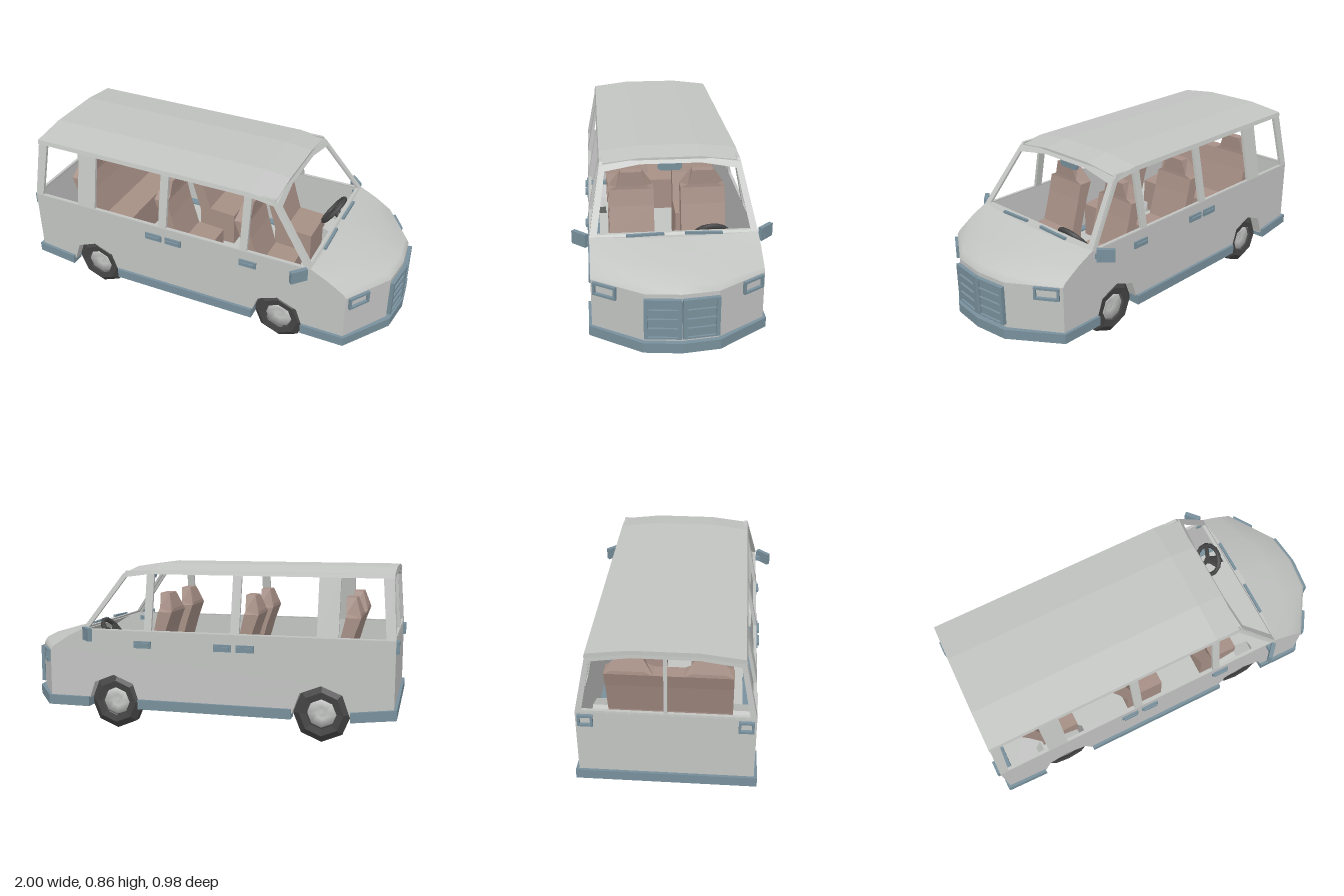
import * as THREE from 'three';

const mat = (name, color) => new THREE.MeshStandardMaterial({ name, color, side: THREE.DoubleSide });

export function createModel() {
  const van = new THREE.Group();
  van.name = 'van';
  const paint = mat('light grey paint', 0xc2c4c2);
  const trim = mat('blue grey trim', 0x78909c);
  const fabric = mat('brown fabric', 0xa68f85);
  const rubber = mat('dark rubber', 0x444444);

  const add = (name, geo, material, parent = van) => {
    const m = new THREE.Mesh(geo, material);
    m.name = name;
    parent.add(m);
    return m;
  };
  const box = (name, size, pos, material, parent) => {
    const m = add(name, new THREE.BoxGeometry(...size), material, parent);
    m.position.set(...pos);
    return m;
  };
  const group = (name, pos, parent = van) => {
    const g = new THREE.Group();
    g.name = name;
    g.position.set(...pos);
    parent.add(g);
    return g;
  };
  const toV = pts => pts.map(p => new THREE.Vector2(...p));
  const rect = (x0, y0, x1, y1) => [[x0, y0], [x1, y0], [x1, y1], [x0, y1]];
  const extrude = (pts, depth, holes = [], steps = 1) => {
    const s = new THREE.Shape(toV(pts));
    holes.forEach(h => s.holes.push(new THREE.Path(toV(h))));
    return new THREE.ExtrudeGeometry(s, { depth, steps, bevelEnabled: false });
  };
  // Move every vertex by a rule
  const warp = (geo, rule) => {
    const p = geo.attributes.position;
    for (let i = 0; i < p.count; i++) p.setXYZ(i, ...rule(p.getX(i), p.getY(i), p.getZ(i)));
    geo.computeVertexNormals();
    return geo;
  };
  // Surface through rows of points
  const loft = (rows, smooth) => {
    const n = rows[0].length, idx = [];
    for (let r = 0; r < rows.length - 1; r++)
      for (let c = 0; c < n - 1; c++) {
        const a = r * n + c, b = a + n;
        idx.push(a, b, a + 1, b, b + 1, a + 1);
      }
    let g = new THREE.BufferGeometry();
    g.setAttribute('position', new THREE.Float32BufferAttribute(rows.flat(2), 3));
    g.setIndex(idx);
    if (!smooth) g = g.toNonIndexed();
    g.computeVertexNormals();
    return g;
  };
  // Slab seen from above: points are [x, z]
  const slab = (pts, y, h) => extrude(pts.map(([x, z]) => [x, -z]), h).rotateX(-Math.PI / 2).translate(0, y, 0);
  const mirrored = half => [...half, ...half.slice().reverse().filter(p => p[1] !== 0).map(([x, z]) => [x, -z])];

  const axles = [-0.635, 0.445];
  const arch = cx => [[-0.14, 0.15], [-0.105, 0.25], [0, 0.292], [0.105, 0.25], [0.14, 0.15]].map(([x, y]) => [cx + x, y]);

  // Lower sides with wheel arches, and upper sides with windows leaning inwards
  const lower = [[-0.985, 0.18], ...arch(axles[0]), ...arch(axles[1]),
    [0.8, 0.15], [0.8, 0.41], [0.785, 0.43], [0.7, 0.485], [0.61, 0.53], [-0.985, 0.53]];
  const upper = [[-0.985, 0.525], [0.61, 0.525], [0.39, 0.83], [-0.965, 0.83]];
  const windows = [
    [[-0.94, 0.53], [-0.715, 0.53], [-0.715, 0.815], [-0.915, 0.815]],
    rect(-0.61, 0.53, -0.225, 0.815),
    rect(-0.18, 0.53, 0.235, 0.815),
    [[0.275, 0.53], [0.583, 0.53], [0.375, 0.815], [0.275, 0.815]]];
  for (const s of [1, -1]) {
    const side = group(s > 0 ? 'rightHandSide' : 'leftHandSide', [0, 0, 0]);
    add('lowerSide', extrude(lower, 0.012).translate(0, 0, s > 0 ? 0.393 : -0.405), paint, side);
    add('windowFrame', warp(extrude(upper, 0.016, windows).translate(0, 0, s > 0 ? 0.389 : -0.405),
      (x, y, z) => [x, y, z - s * (y - 0.53) * 0.2]), paint, side);
    for (const cx of axles) {
      const a = arch(cx);
      add('wheelWell', loft([0.4, 0.27].map(z => a.map(([x, y]) => [x, y, s * z]))), paint, side);
      add('wheelWellWall', new THREE.ShapeGeometry(new THREE.Shape(toV(a))).translate(0, 0, s * 0.27), paint, side);
    }
    box('sill', [0.8, 0.05, 0.07], [-0.09, 0.145, s * 0.385], trim, side);
    for (const x of [-0.255, -0.14, 0.283]) {
      box('handlePlate', [0.092, 0.036, 0.01], [x, 0.457, s * 0.409], trim, side);
      box('doorHandle', [0.075, 0.014, 0.012], [x, 0.458, s * 0.417], trim, side);
    }
    // Door mirror
    const mirror = group('doorMirror', [0.568, 0.508, s * 0.45], side);
    mirror.rotation.y = s * 0.82;
    box('mirrorHousing', [0.088, 0.066, 0.022], [0, 0, 0], trim, mirror);
    box('mirrorArm', [0.03, 0.025, 0.05], [0.58, 0.495, s * 0.415], trim, side);
  }

  // Windscreen frame and rear frame, drawn as [z, y] and tilted
  const outline = [[-0.405, 0.525], [0.405, 0.525], [0.345, 0.815], [0.15, 0.838], [-0.15, 0.838], [-0.345, 0.815]];
  const glassHole = [[-0.368, 0.54], [0.368, 0.54], [0.322, 0.79], [0.15, 0.815], [-0.15, 0.815], [-0.322, 0.79]];
  add('windscreenFrame', warp(extrude(outline, 0.015, [glassHole]),
    (z, y, d) => [0.597 + d - (y - 0.53) * 0.72, y, -z]), paint);
  const rearHole = s => [[s * 0.008, 0.54], [s * 0.375, 0.54], [s * 0.328, 0.795], [s * 0.15, 0.82], [s * 0.008, 0.82]];
  add('rearWindowFrame', warp(extrude(outline, 0.015, [rearHole(1), rearHole(-1)]),
    (z, y, d) => [-0.985 + d + (y - 0.53) * 0.07, y, -z]), paint);
  box('rearDoors', [0.015, 0.36, 0.81], [-0.978, 0.35, 0], paint);

  // Roof, dropping a little towards the windscreen
  const roofSection = [[-0.352, 0.815], [-0.335, 0.815], [-0.15, 0.84], [0.15, 0.84], [0.335, 0.815], [0.352, 0.815],
    [0.346, 0.837], [0.15, 0.861], [-0.15, 0.861], [-0.346, 0.837]];
  add('roof', warp(extrude(roofSection, 2, [], 2), (z, y, d) => {
    const i = Math.round(d);
    return [[-0.968, 0.26, 0.395][i], y - (i === 2 ? 0.018 : 0), -z];
  }), paint);

  // Bonnet and nose
  const zs = [-1, -0.42, 0, 0.42, 1].map(f => f * 0.405);
  const row = (xs, ys) => zs.map((z, i) => [xs[2 - Math.abs(i - 2)], ys[2 - Math.abs(i - 2)], z]);
  add('bonnet', loft([
    row([0.61, 0.635, 0.64], [0.53, 0.53, 0.53]),
    row([0.7, 0.8, 0.81], [0.485, 0.487, 0.49]),
    row([0.785, 0.935, 0.955], [0.43, 0.442, 0.447]),
    row([0.8, 0.955, 0.975], [0.41, 0.41, 0.41])], true), paint);
  add('cowl', loft([row([0.59, 0.59, 0.59], [0.528, 0.528, 0.528]), row([0.61, 0.635, 0.64], [0.53, 0.53, 0.53])]), paint);
  add('nose', loft([0.41, 0.15].map(y => row([0.8, 0.955, 0.975], [y, y, y]))), paint);

  // Floor, notched for the wheels
  const notch = cx => [[cx - 0.14, 0.4], [cx - 0.14, 0.27], [cx + 0.14, 0.27], [cx + 0.14, 0.4]];
  add('floor', slab(mirrored([[-0.98, 0.4], ...notch(axles[0]), ...notch(axles[1]), [0.8, 0.4], [0.95, 0.17], [0.97, 0]]), 0.145, 0.015), paint);

  // Bumpers
  const bumper = (outer, inner) => {
    const o = mirrored(outer), i = mirrored(inner);
    return slab([...o, ...i.reverse()], 0.12, 0.05);
  };
  add('frontBumper', bumper([[0.58, 0.42], [0.808, 0.42], [0.978, 0.178], [1, 0]],
    [[0.58, 0.35], [0.78, 0.35], [0.92, 0.15], [0.935, 0]]), trim);
  add('rearBumper', warp(bumper([[-0.78, 0.42], [-1, 0.42]], [[-0.78, 0.35], [-0.94, 0.35]]),
    (x, y, z) => [x, y + (-0.78 - x) * 0.12, z]), trim);

  // Lamps and grille
  const bezel = (w, h, b) => extrude(rect(-w / 2, -h / 2, w / 2, h / 2), 0.015,
    [rect(-w / 2 + b, -h / 2 + b, w / 2 - b, h / 2 - b)]);
  const slots = [];
  for (let i = 0; i < 4; i++) slots.push(rect(-0.068, -0.092 + i * 0.047, 0.068, -0.051 + i * 0.047));
  for (const s of [1, -1]) {
    const head = group('headlight', [0.843, 0.375, s * 0.34]);
    head.rotation.y = Math.atan2(0.835, s * 0.55);
    add('headlightBezel', bezel(0.122, 0.064, 0.011), trim, head);
    const grille = group('grille', [0.966, 0.29, s * 0.086]);
    grille.rotation.y = Math.atan2(0.17, s * 0.02);
    add('grilleBars', extrude(rect(-0.086, -0.1, 0.086, 0.1), 0.02, slots), trim, grille);
    box('grillePanel', [0.17, 0.198, 0.008], [0, 0, 0.005], trim, grille);
    const tail = group('tailLight', [-0.985, 0.49, s * 0.36]);
    tail.rotation.y = -Math.PI / 2;
    add('tailLightBezel', bezel(0.07, 0.06, 0.011), trim, tail);
    // Wipers
    const wiper = box('wiper', [0.014, 0.012, 0.18], [0.622, 0.54, s * 0.14], trim);
    wiper.rotation.x = s * 0.03;
  }

  // Inside mirror
  const glass = [[-0.06, -0.01], [-0.045, -0.021], [0.045, -0.021], [0.06, -0.01], [0.06, 0.01], [0.045, 0.021], [-0.045, 0.021], [-0.06, 0.01]];
  add('insideMirror', extrude(glass, 0.015).rotateY(Math.PI / 2).translate(0.365, 0.79, 0), trim);

  // Wheels and axles
  const tyre = toV([[0.075, -0.045], [0.11, -0.05], [0.145, -0.022], [0.145, 0.022], [0.11, 0.05], [0.075, 0.045]]);
  const hub = toV([[0.08, -0.045], [0.07, 0.035], [0.03, 0.02], [0, 0.025]]);
  const rubberFlat = g => { const n = g.toNonIndexed(); n.computeVertexNormals(); return n; };
  for (const cx of axles) {
    for (const s of [1, -1]) {
      const wheel = group('wheel', [cx, 0.145, s * 0.33]);
      wheel.rotation.x = s * Math.PI / 2;
      add('tyre', rubberFlat(new THREE.LatheGeometry(tyre, 8)), rubber, wheel);
      add('hub', new THREE.LatheGeometry(hub, 8), paint, wheel);
    }
    add('axle', new THREE.CylinderGeometry(0.033, 0.033, 0.6, 10).rotateX(Math.PI / 2).translate(cx, 0.145, 0), paint);
  }

  // Seats: side profile is [x, y], narrowing to a headrest
  const back = [[0.08, 0.17], [0.29, 0.17], [0.29, 0.36], [0.14, 0.37], [0.094, 0.53], [0.075, 0.615], [0, 0.615], [0.03, 0.53], [0.08, 0.35]];
  const headrest = [[0, 0.615], [0.075, 0.615], [0.075, 0.632], [0.08, 0.71], [0.03, 0.71], [0.002, 0.632]];
  const seat = (x, z) => {
    const g = group('seat', [x, 0, z]);
    add('seatBack', extrude(back, 0.23).translate(0, 0, -0.115), fabric, g);
    add('headrest', warp(extrude(headrest, 0.23).translate(0, 0, -0.115), (px, y, pz) =>
      [px, y, pz * (y > 0.7 ? 0.48 : y > 0.62 ? 0.68 : 1)]), fabric, g);
  };
  for (const x of [-0.81, -0.3, 0.16]) for (const z of [-0.185, 0.185]) seat(x, z);
  add('benchMiddle', extrude(back, 0.14).translate(-0.81, 0, -0.07), fabric);

  // Steering wheel and column
  const steering = group('steeringWheel', [0.53, 0.485, -0.19]);
  steering.rotation.z = -0.64;
  const rim = group('steeringRim', [0, 0, 0], steering);
  rim.rotation.y = -Math.PI / 2;
  add('rim', new THREE.TorusGeometry(0.083, 0.013, 6, 14), rubber, rim);
  for (let i = 0; i < 3; i++) {
    const a = i * Math.PI * 2 / 3 - Math.PI / 2;
    const spoke = box('spoke', [0.08, 0.022, 0.01], [Math.cos(a) * 0.04, Math.sin(a) * 0.04, 0], rubber, rim);
    spoke.rotation.z = a;
  }
  add('column', new THREE.CylinderGeometry(0.02, 0.02, 0.13, 8).rotateZ(Math.PI / 2).translate(0.06, 0, 0), rubber, steering);

  return van;
}
